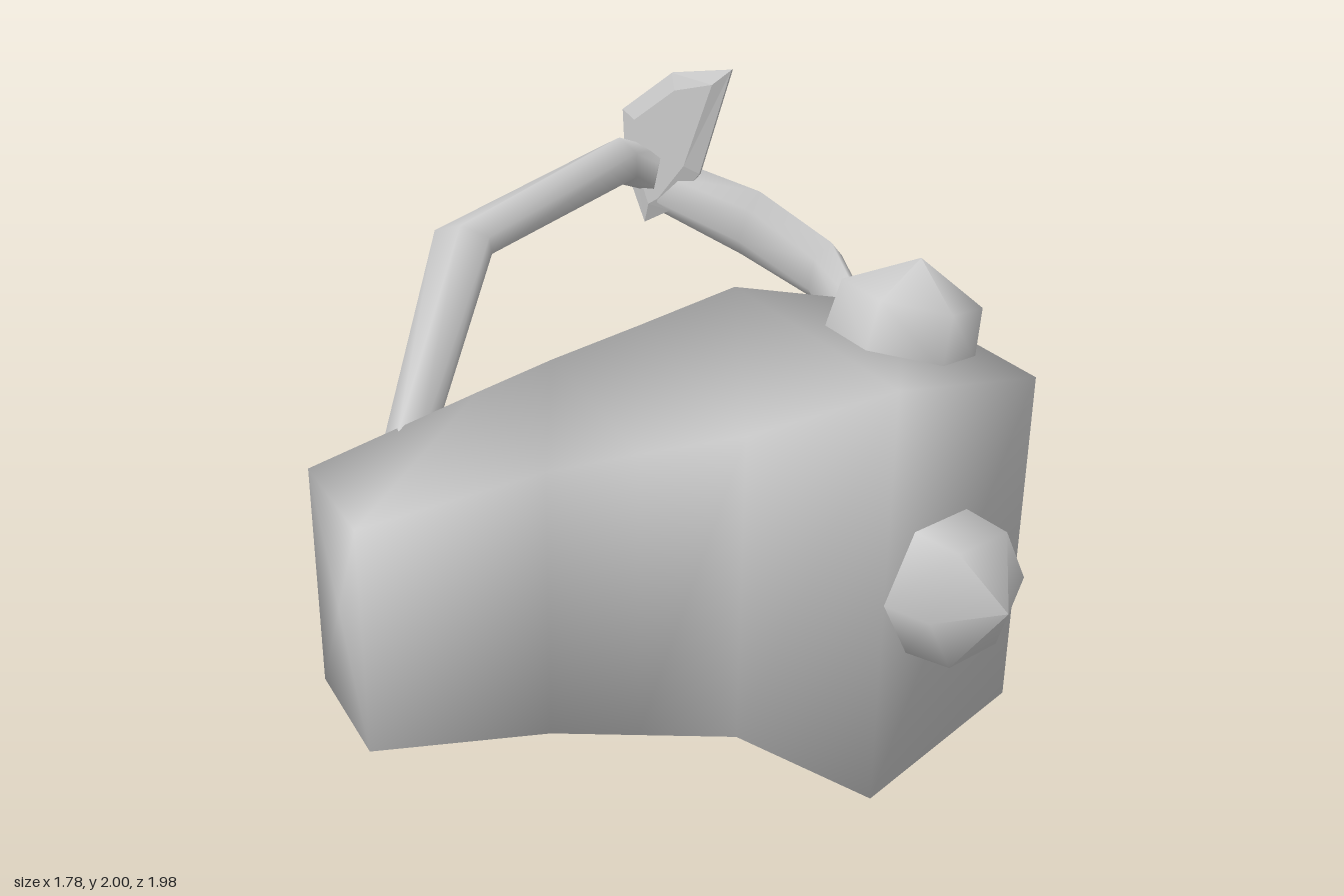
import * as THREE from 'three';

const material = new THREE.MeshStandardMaterial({ color: 0xcccccc, roughness: 0.7 });
const V = (x, y, z) => new THREE.Vector3(x, y, z);

function part(geometry, name) {
  const mesh = new THREE.Mesh(geometry, material);
  mesh.name = name;
  return mesh;
}

// Skin closed rings of points, with a fan cap at each end; winding is turned outward
function loft(rings) {
  const n = rings[0].length, pts = rings.flat(), index = [];
  for (let i = 0; i < rings.length - 1; i++) {
    for (let j = 0; j < n; j++) {
      const a = i * n + j, b = i * n + (j + 1) % n;
      index.push(a, b, b + n, a, b + n, a + n);
    }
  }
  [0, rings.length - 1].forEach((r, end) => {
    const c = pts.length;
    pts.push(rings[r].reduce((s, p) => s.add(p), V(0, 0, 0)).divideScalar(n));
    for (let j = 0; j < n; j++) {
      const a = r * n + j, b = r * n + (j + 1) % n;
      index.push(c, end ? a : b, end ? b : a);
    }
  });
  let volume = 0;
  for (let i = 0; i < index.length; i += 3) {
    const [a, b, c] = [0, 1, 2].map((k) => pts[index[i + k]]);
    volume += a.dot(b.clone().cross(c));
  }
  if (volume < 0) index.reverse();
  const g = new THREE.BufferGeometry().setFromPoints(pts);
  g.setIndex(index);
  g.computeVertexNormals();
  return g;
}

// Six-sided bar; each station is x, y, z, half width, half height
function bar(stations, side) {
  const centres = stations.map(([x, y, z]) => V(x, y * side, z));
  return loft(stations.map(([, , , w, h], i) => {
    const before = centres[Math.max(i - 1, 0)];
    const after = centres[Math.min(i + 1, centres.length - 1)];
    const tangent = after.clone().sub(before).normalize();
    const across = V(-tangent.z, 0, tangent.x).normalize();
    const rise = across.clone().cross(tangent);
    return Array.from({ length: 6 }, (_, k) => {
      const a = (k + 0.5) * Math.PI / 3;
      return centres[i].clone()
        .addScaledVector(across, Math.cos(a) * w * 1.1)
        .addScaledVector(rise, Math.sin(a) * h);
    });
  }));
}

// Low hexagonal dome standing on y = 0
function dome() {
  const profile = [[0.2, -0.03], [0.2, 0], [0.185, 0.14], [0, 0.235]];
  return new THREE.LatheGeometry(profile.map(([r, y]) => new THREE.Vector2(r, y)), 6);
}

export function createModel() {
  const group = new THREE.Group();
  const inner = new THREE.Group();
  inner.name = 'mirroredAssembly';
  inner.position.y = 1;
  group.add(inner);

  // Tapered body: x, back z, front z, back half height, front half height
  const sections = [
    [-0.895, 0.095, 0.475, 0.305, 0.305],
    [-0.42, 0.045, 0.495, 0.41, 0.37],
    [-0.2, 0.02, 0.555, 0.455, 0.40],
    [0.05, 0.02, 0.63, 0.51, 0.43],
    [0.34, 0.02, 0.84, 0.577, 0.577],
    [0.855, 0.08, 0.69, 0.47, 0.47],
  ];
  inner.add(part(loft(sections.map(([x, zb, zf, hb, hf]) => [
    V(x, hf, zf), V(x, hb, zb), V(x, -hb, zb), V(x, -hf, zf),
  ])), 'body'));

  // Front dome, normal to the sloping front
  const front = dome().rotateY(Math.PI / 2).rotateX(Math.PI / 2).rotateY(0.285);
  front.translate(0.53, 0, 0.78);
  inner.add(part(front, 'frontDome'));

  // Fin outline, in the plane of the fin
  const outline = [[0, 1], [0.2, 0.97], [0.37, 0.84], [0.36, 0.66], [0.29, 0.49], [0.2, 0.54], [0.1, 0.67]];

  for (const side of [1, -1]) {
    const label = side > 0 ? 'upper' : 'lower';

    // Side dome, normal to the sloping top or bottom
    const cap = dome().rotateZ(side > 0 ? -0.21 : 0.21 - Math.PI);
    cap.translate(0.605, side * 0.51, 0.435);
    inner.add(part(cap, label + 'Dome'));

    // Short arm from the wide end of the body
    inner.add(part(bar([
      [0.74, 0.34, 0.08, 0.045, 0.1],
      [0.84, 0.44, -0.33, 0.05, 0.105],
      [0.74, 0.525, -0.62, 0.04, 0.11],
      [0.56, 0.61, -0.84, 0.05, 0.09],
    ], side), label + 'ShortArm'));

    // Long arm from the narrow end
    inner.add(part(bar([
      [-0.64, 0.27, 0.07, 0.05, 0.09],
      [-0.24, 0.625, -0.52, 0.09, 0.055],
      [0.43, 0.685, -0.91, 0.075, 0.075],
      [0.53, 0.66, -0.84, 0.05, 0.07],
    ], side), label + 'LongArm'));

    // Thin fin where the two arms meet
    const shape = new THREE.Shape(outline.map(([s, y]) => new THREE.Vector2(s, y * side)));
    const fin = new THREE.ExtrudeGeometry(shape, {
      depth: 0.01, bevelEnabled: true, bevelSegments: 1,
      bevelThickness: 0.02, bevelSize: 0.05, bevelOffset: -0.05,
    });
    fin.rotateY(Math.atan2(0.81, -0.59)).translate(0.67, 0, -0.64);
    inner.add(part(fin, label + 'Fin'));
  }

  return group;
}
